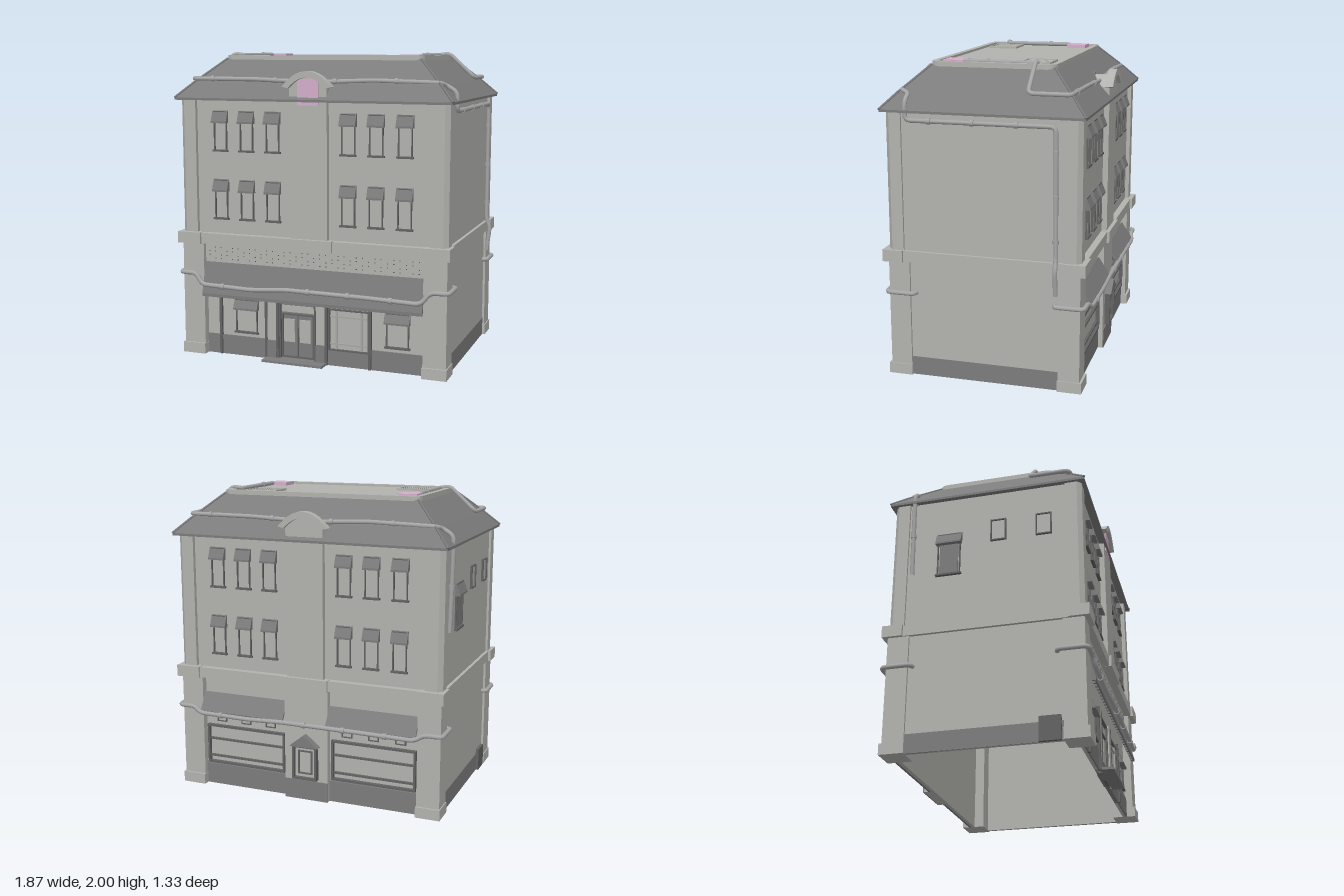
import * as THREE from 'three';

const mat = (name, color, side = THREE.FrontSide) => {
  const m = new THREE.MeshStandardMaterial({ color, side });
  m.name = name;
  return m;
};

export function createModel() {
  const light = mat('stone', 0xb2b2ae);
  const dark = mat('slate', 0x7c7c7c, THREE.DoubleSide);
  const trim = mat('darkFrame', 0x636363);
  const metal = mat('pipeMetal', 0xa6a6a6);
  const pink = mat('pinkPanel', 0xd4aecb);
  const root = new THREE.Group();

  const add = (parent, name, geo, m) => {
    const mesh = new THREE.Mesh(geo, m);
    mesh.name = name;
    parent.add(mesh);
    return mesh;
  };
  // box given by its extents
  const box = (parent, name, m, x0, x1, y0, y1, z0, z1) => {
    const mesh = add(parent, name, new THREE.BoxGeometry(x1 - x0, y1 - y0, z1 - z0), m);
    mesh.position.set((x0 + x1) / 2, (y0 + y1) / 2, (z0 + z1) / 2);
    return mesh;
  };
  // shape extruded from z0 to z1
  const slab = (parent, name, m, shape, z0, z1) => {
    const g = new THREE.ExtrudeGeometry(shape, { depth: z1 - z0, bevelEnabled: false, curveSegments: 10 });
    const mesh = add(parent, name, g, m);
    mesh.position.z = z0;
    return mesh;
  };
  const poly = pts => new THREE.Shape(pts.map(p => new THREE.Vector2(...p)));
  // rectangular outline made of four bars
  const frame = (parent, name, m, x0, x1, y0, y1, z0, z1, t) => {
    box(parent, name, m, x0, x0 + t, y0, y1, z0, z1);
    box(parent, name, m, x1 - t, x1, y0, y1, z0, z1);
    box(parent, name, m, x0 + t, x1 - t, y0, y0 + t, z0, z1);
    box(parent, name, m, x0 + t, x1 - t, y1 - t, y1, z0, z1);
  };
  // window with sill and sloping hood
  const hoodWindow = (parent, x, y0, y1, z, w, hood) => {
    frame(parent, 'windowFrame', trim, x - w / 2, x + w / 2, y0, y1, z, z + 0.012, 0.007);
    box(parent, 'windowSill', trim, x - w / 2 - 0.008, x + w / 2 + 0.008, y0 - 0.006, y0 + 0.006, z, z + 0.02);
    const h = slab(parent, 'windowHood', dark, poly([[0, 0], [0.035, 0], [0.035, 0.012], [0.008, hood], [0, hood]]), 0, w + 0.016);
    h.rotation.y = -Math.PI / 2;
    h.scale.x = 1;
    h.position.set(x + w / 2 + 0.008, y1 - hood + 0.004, z);
  };

  // walls
  for (const s of [-1, 1]) {
    box(root, 'sideWall', light, s * 0.875 - 0.01, s * 0.875 + 0.01, 0, 1.7, -0.57, 0.57);
    box(root, 'sidePlinth', dark, s * 0.884 - 0.004, s * 0.884 + 0.004, 0, 0.12, -0.475, 0.475);
    box(root, 'upperWall', light, -0.87, 0.87, 0.75, 1.7, s * 0.57 - 0.015, s * 0.57 + 0.015);
    for (const t of [-1, 1]) {
      box(root, 'groundPier', light, s * 0.825 - 0.075, s * 0.825 + 0.075, 0.07, 0.75, t * 0.543 - 0.068, t * 0.543 + 0.068);
      box(root, 'pierBase', light, s * 0.827 - 0.08, s * 0.827 + 0.08, 0, 0.07, t * 0.549 - 0.077, t * 0.549 + 0.077);
      box(root, 'corniceCorner', light, s * 0.84 - 0.082, s * 0.84 + 0.082, 0.75, 0.825, t * 0.58 - 0.065, t * 0.58 + 0.065);
      // chamfered corner pilaster
      const p = [[0.79, 0.51], [0.9, 0.51], [0.9, 0.585], [0.872, 0.612], [0.79, 0.612]].map(([x, z]) => [x * s, -z * t]);
      const g = slab(root, 'upperPilaster', light, poly(p), 0, 0.88);
      g.rotation.x = -Math.PI / 2;
      g.position.set(0, 0.82, 0);
    }
  }
  box(root, 'cornice', light, -0.905, 0.905, 0.752, 0.822, -0.628, 0.628);

  // upper facade, the same on front and back
  for (const s of [1, -1]) {
    const f = new THREE.Group();
    f.name = s > 0 ? 'frontUpperFacade' : 'backUpperFacade';
    f.rotation.y = s > 0 ? 0 : Math.PI;
    root.add(f);
    for (const x of [0.255, 0.437, 0.622]) for (const m of [-1, 1]) for (const y of [0.92, 1.365])
      hoodWindow(f, x * m, y, y + 0.255, 0.585, 0.092, 0.08);
    const shaft = poly([[-0.125, 0.82], [0.125, 0.82], [0.125, 1.78]]);
    shaft.quadraticCurveTo(0, 1.91, -0.125, 1.78);
    slab(f, 'centralPilaster', light, shaft, 0.47, 0.62);
    const cap = poly([[-0.165, 1.785], [-0.125, 1.775]]);
    cap.quadraticCurveTo(0, 1.91, 0.125, 1.775);
    cap.lineTo(0.165, 1.785);
    cap.quadraticCurveTo(0, 1.98, -0.165, 1.785);
    slab(f, 'archCap', light, cap, 0.595, 0.648);
    const gable = poly([[-0.125, 1.775], [0.125, 1.775], [0, 1.86]]);
    slab(f, 'dormerRoof', dark, gable, 0.45, 0.5);
    box(f, 'corniceCentre', light, -0.16, 0.16, 0.75, 0.825, 0.6, 0.645);
  }
  box(root, 'pinkFrontPanel', pink, -0.07, 0.07, 1.67, 1.835, 0.618, 0.625);

  // roof slopes from rectangular loops
  const loops = [[1.7, 0.86, 0.57], [1.69, 0.925, 0.637], [1.705, 0.925, 0.637], [1.8, 0.83, 0.548], [1.955, 0.66, 0.388]];
  const corner = ([y, x, z], i) => [[x, y, z], [x, y, -z], [-x, y, -z], [-x, y, z]][i % 4];
  const pos = [];
  for (let k = 0; k < loops.length - 1; k++) for (let i = 0; i < 4; i++) {
    const a = corner(loops[k], i), b = corner(loops[k], i + 1), c = corner(loops[k + 1], i + 1), d = corner(loops[k + 1], i);
    pos.push(...a, ...b, ...c, ...a, ...c, ...d);
  }
  const roofGeo = new THREE.BufferGeometry();
  roofGeo.setAttribute('position', new THREE.Float32BufferAttribute(pos, 3));
  roofGeo.computeVertexNormals();
  add(root, 'mansardRoof', roofGeo, dark);
  const rod = (name, a, b, r, m) => {
    const A = new THREE.Vector3(...a), B = new THREE.Vector3(...b), d = B.clone().sub(A);
    const mesh = add(root, name, new THREE.CylinderGeometry(r, r, d.length(), 8), m);
    mesh.position.copy(A).add(B).multiplyScalar(0.5);
    mesh.quaternion.setFromUnitVectors(new THREE.Vector3(0, 1, 0), d.normalize());
  };
  for (let i = 0; i < 4; i++) for (const k of [2, 3]) rod('hipRidge', corner(loops[k], i), corner(loops[k + 1], i), 0.008, dark);

  // flat roof deck with raised rounded rim
  const rounded = (S, x, z, r) => {
    const s = new S();
    s.moveTo(x, -z + r);
    s.lineTo(x, z - r); s.quadraticCurveTo(x, z, x - r, z);
    s.lineTo(-x + r, z); s.quadraticCurveTo(-x, z, -x, z - r);
    s.lineTo(-x, -z + r); s.quadraticCurveTo(-x, -z, -x + r, -z);
    s.lineTo(x - r, -z); s.quadraticCurveTo(x, -z, x, -z + r);
    return s;
  };
  const rim = rounded(THREE.Shape, 0.672, 0.397, 0.06);
  rim.holes.push(rounded(THREE.Path, 0.635, 0.36, 0.04));
  const lay = (mesh, y) => { mesh.rotation.x = -Math.PI / 2; mesh.position.set(0, y, 0); };
  lay(slab(root, 'roofRim', light, rim, 0, 0.035), 1.94);
  lay(slab(root, 'roofDeck', light, rounded(THREE.Shape, 0.65, 0.375, 0.05), 0, 0.01), 1.95);
  for (const s of [1, -1]) {
    const g = new THREE.Group();
    g.name = 'roofEquipment';
    g.rotation.y = s > 0 ? 0 : Math.PI;
    root.add(g);
    box(g, 'pinkRoofHatch', pink, 0.5, 0.63, 1.955, 1.982, 0.195, 0.325);
    box(g, 'ventBed', trim, 0.345, 0.545, 1.955, 1.963, -0.325, -0.14);
    for (const x of [0.34, 0.54]) box(g, 'ventFrame', light, x, x + 0.01, 1.955, 1.973, -0.33, -0.135);
    for (const z of [-0.33, -0.145]) box(g, 'ventFrame', light, 0.35, 0.54, 1.955, 1.973, z, z + 0.01);
    for (let i = 0; i < 14; i++) box(g, 'ventSlat', light, 0.357 + i * 0.013, 0.365 + i * 0.013, 1.96, 1.969, -0.315, -0.15);
  }

  // front shop: sign band, awning, panels, door
  const shop = new THREE.Group();
  shop.name = 'frontShop';
  root.add(shop);
  box(shop, 'signBand', light, -0.75, 0.75, 0.6, 0.75, 0.54, 0.58);
  for (let i = 0; i < 36; i++) for (const y of [0.645, 0.67, 0.695, 0.72])
    if ((i * 7 + Math.round(y * 200)) % 3) box(shop, 'signRivet', trim, -0.722 + i * 0.041, -0.716 + i * 0.041, y, y + 0.006, 0.579, 0.583);
  const awning = (parent, x0, x1, pts) => {
    const a = slab(parent, 'awning', dark, poly(pts), 0, x1 - x0);
    a.rotation.y = -Math.PI / 2;
    a.position.x = x1;
  };
  awning(shop, -0.752, 0.752, [[0.565, 0.62], [0.585, 0.625], [0.64, 0.42], [0.64, 0.4], [0.632, 0.4]]);
  for (let i = 0; i < 31; i++) awning(shop, -0.75 + i * 0.0495, -0.735 + i * 0.0495, [[0.56, 0.6], [0.575, 0.6], [0.634, 0.405], [0.615, 0.405]]);
  for (const s of [-1, 1]) {
    const [a, b] = s < 0 ? [-0.75, -0.25] : [0.4, 0.75];
    box(shop, 'shopWall', light, a, b, 0, 0.62, 0.54, 0.56);
    box(shop, 'shopPlinth', dark, a, b, 0, 0.13, 0.56, 0.569);
    hoodWindow(shop, s < 0 ? -0.465 : 0.575, 0.16, 0.38, 0.56, s < 0 ? 0.155 : 0.15, 0.07);
  }
  box(shop, 'doorHeader', light, -0.25, 0.4, 0.4, 0.62, 0.54, 0.56);
  for (const x of [-0.65, -0.32, -0.24, 0.1, 0.395]) box(shop, 'shopMullion', trim, x - 0.009, x + 0.009, 0, 0.41, 0.55, 0.58);
  for (const [a, b] of [[-0.31, -0.25], [0.03, 0.092]]) {
    box(shop, 'doorPier', light, a, b, 0, 0.41, 0.55, 0.578);
    box(shop, 'doorPierBase', dark, a, b, 0, 0.13, 0.578, 0.584);
  }
  box(shop, 'doorPanel', dark, -0.23, 0.03, 0, 0.4, 0.535, 0.552);
  frame(shop, 'doorFrame', trim, -0.232, 0.025, 0, 0.4, 0.552, 0.57, 0.012);
  box(shop, 'doorTransom', light, -0.215, 0.01, 0.325, 0.368, 0.552, 0.559);
  frame(shop, 'doorLeafFrame', trim, -0.215, 0.01, 0.02, 0.315, 0.552, 0.562, 0.01);
  box(shop, 'doorSeam', trim, -0.106, -0.1, 0.02, 0.31, 0.552, 0.558);
  for (const x of [-0.2, -0.09]) box(shop, 'doorGlass', light, x, x + 0.075, 0.125, 0.278, 0.552, 0.56);
  box(shop, 'displayWindow', light, 0.1, 0.4, 0.1, 0.4, 0.54, 0.556);
  box(shop, 'displayPlinth', dark, 0.1, 0.4, 0, 0.1, 0.54, 0.568);
  frame(shop, 'displayFrame', trim, 0.112, 0.388, 0.1, 0.375, 0.556, 0.57, 0.01);
  for (const y of [0.145, 0.325]) box(shop, 'displayBar', metal, 0.12, 0.38, y - 0.005, y + 0.005, 0.556, 0.566);
  for (const x of [0.165, 0.335]) box(shop, 'displayBar', metal, x - 0.005, x + 0.005, 0.11, 0.37, 0.556, 0.566);
  box(shop, 'doorStep', dark, -0.32, 0.1, 0, 0.015, 0.54, 0.655);

  // back shop: two wide windows and a gabled niche
  const back = new THREE.Group();
  back.name = 'backShop';
  back.rotation.y = Math.PI;
  root.add(back);
  box(back, 'backWall', light, -0.75, 0.75, 0, 0.75, 0.54, 0.565);
  box(back, 'backPier', light, -0.15, 0.15, 0, 0.75, 0.565, 0.61);
  box(back, 'backPierBase', dark, -0.15, 0.15, 0, 0.13, 0.61, 0.617);
  for (const s of [-1, 1]) {
    const c = s * 0.45;
    box(back, 'backPlinth', dark, c - 0.3, c + 0.3, 0, 0.14, 0.565, 0.58);
    frame(back, 'backWindowFrame', trim, c - 0.285, c + 0.285, 0.15, 0.42, 0.565, 0.59, 0.014);
    for (const y of [0.2, 0.32]) box(back, 'backWindowBar', trim, c - 0.275, c + 0.275, y - 0.006, y + 0.006, 0.565, 0.583);
    for (const x of [-0.18, 0, 0.18]) {
      frame(back, 'ventWindowFrame', trim, c + x - 0.035, c + x + 0.035, 0.445, 0.5, 0.565, 0.578, 0.007);
      box(back, 'ventWindow', light, c + x - 0.03, c + x + 0.03, 0.45, 0.495, 0.565, 0.572);
    }
    awning(back, c - 0.3, c + 0.3, [[0.565, 0.63], [0.575, 0.645], [0.65, 0.53], [0.645, 0.515]]);
  }
  box(back, 'nichePanel', light, -0.075, 0.075, 0.16, 0.37, 0.61, 0.622);
  frame(back, 'nicheFrame', trim, -0.085, 0.085, 0.145, 0.375, 0.61, 0.645, 0.014);
  frame(back, 'nicheInner', trim, -0.05, 0.05, 0.18, 0.34, 0.622, 0.63, 0.01);
  slab(back, 'nicheGable', dark, poly([[-0.1, 0.37], [0.1, 0.37], [0, 0.45]]), 0.61, 0.655);

  // windows and utility box on the right-hand wall
  const side = new THREE.Group();
  side.name = 'rightWallDetails';
  side.rotation.y = -Math.PI / 2;
  root.add(side);
  hoodWindow(side, -0.24, 1.15, 1.44, 0.885, 0.15, 0.08);
  box(side, 'shutter', dark, -0.3, -0.18, 1.16, 1.37, 0.885, 0.893);
  for (const x of [0.08, 0.37]) {
    frame(side, 'smallWindowFrame', trim, x - 0.05, x + 0.05, 1.35, 1.5, 0.885, 0.9, 0.008);
    box(side, 'smallWindow', light, x - 0.042, x + 0.042, 1.358, 1.492, 0.885, 0.891);
  }
  box(side, 'utilityBox', trim, 0.33, 0.46, 0, 0.15, 0.885, 0.905);

  // pipes: straight runs with rounded bends, and collars on long runs
  const pipe = (name, pts, r) => {
    const p = pts.map(q => new THREE.Vector3(...q)), path = new THREE.CurvePath();
    let last = p[0];
    for (let i = 1; i < p.length; i++) {
      const d = p[i].clone().sub(p[i - 1]), len = d.length();
      d.normalize();
      for (let t = 0.15; len > 0.3 && t < len - 0.1; t += 0.27) {
        const c = p[i - 1].clone().addScaledVector(d, t);
        rod('pipeCollar', c.clone().addScaledVector(d, -0.012).toArray(), c.addScaledVector(d, 0.012).toArray(), r * 1.35, metal);
      }
      if (i === p.length - 1) { path.add(new THREE.LineCurve3(last, p[i])); break; }
      const e = p[i + 1].clone().sub(p[i]), k = Math.min(0.035, len * 0.45, e.length() * 0.45);
      const a = p[i].clone().addScaledVector(d, -k), b = p[i].clone().addScaledVector(e.normalize(), k);
      path.add(new THREE.LineCurve3(last, a));
      path.add(new THREE.QuadraticBezierCurve3(a, p[i], b));
      last = b;
    }
    add(root, name, new THREE.TubeGeometry(path, 260, r, 8), metal);
  };
  const roofRun = s => [[-0.605, 1.975, -0.2], [-0.605, 1.975, 0.27], [-0.67, 1.985, 0.27], [-0.845, 1.825, 0.27], [-0.845, 1.825, 0.53],
    [-0.4, 1.825, 0.54], [0, 1.81, 0.545], [0.4, 1.825, 0.53], [0.82, 1.815, 0.53], [0.84, 1.8, 0.475], [0.91, 1.76, 0.475]].map(([x, y, z]) => [x * s, y, z * s]);
  pipe('frontRoofPipe', [...roofRun(1), [0.912, 1.645, 0.475], [0.905, 1.645, -0.455], [0.905, 0.84, -0.46], [0.93, 0.78, -0.46], [0.91, 0.62, -0.46]], 0.014);
  pipe('backRoofPipe', [...roofRun(-1), [-0.91, 1.6, -0.475], [-0.9, 1.17, -0.475]], 0.014);
  for (const s of [1, -1]) pipe(s > 0 ? 'frontAwningPipe' : 'backAwningPipe',
    [[-0.88, 0.55, 0.44], [-0.915, 0.55, 0.45], [-0.915, 0.55, 0.628], [-0.8, 0.55, 0.628], [-0.75, 0.48, 0.642], [-0.4, 0.47, 0.642],
      [-0.15, 0.49, 0.642], [0.4, 0.485, 0.642], [0.74, 0.475, 0.642], [0.8, 0.55, 0.628], [0.915, 0.55, 0.628], [0.915, 0.55, 0.45], [0.88, 0.55, 0.44]]
      .map(([x, y, z]) => [x * s, s > 0 ? y : y * 0.5 + 0.275, z * s * (s > 0 ? 1 : 1.015)]), 0.015);
  return root;
}
